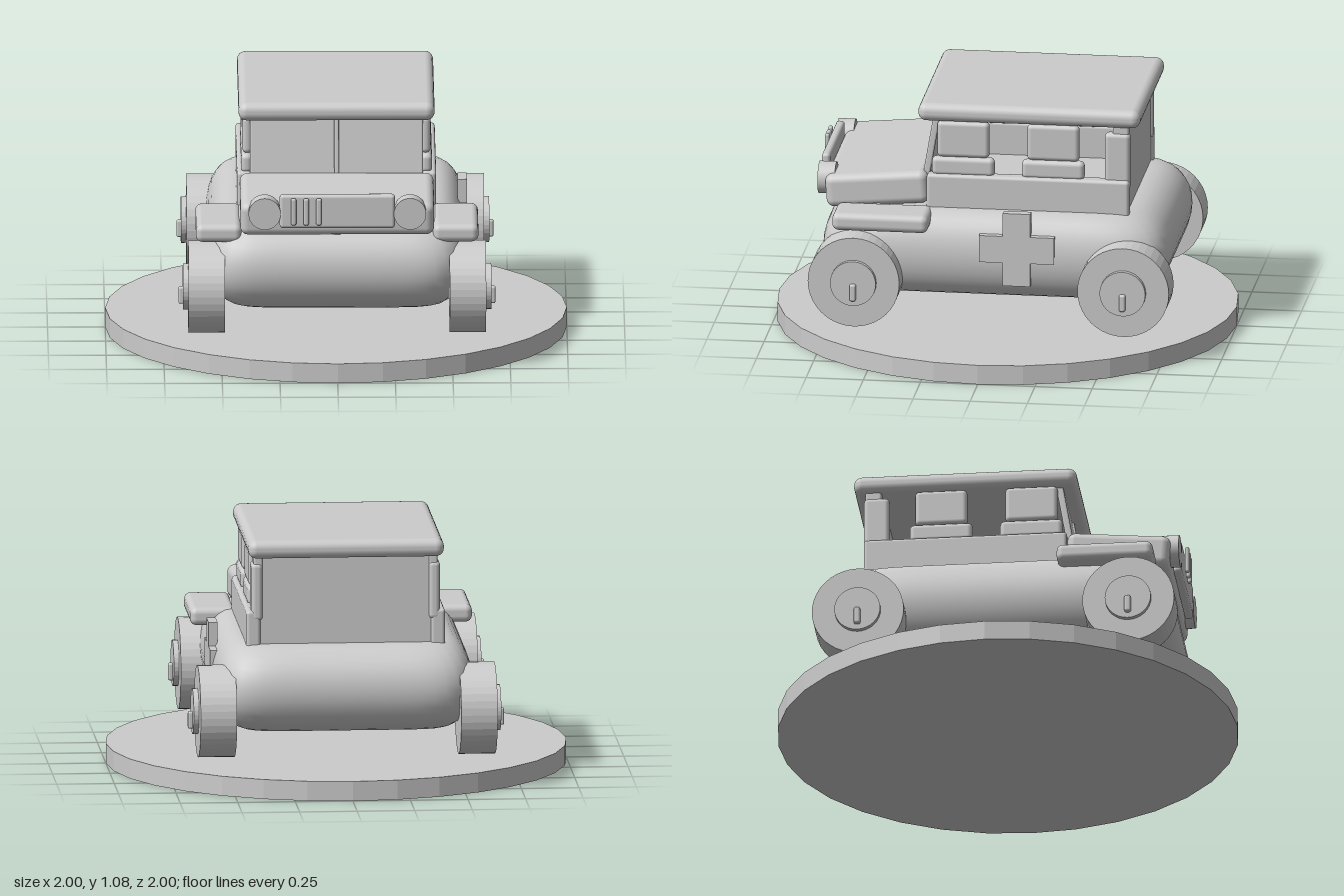
import * as THREE from 'three';
import { mergeVertices } from 'three/addons/utils/BufferGeometryUtils.js';
import { RoundedBoxGeometry } from 'three/addons/geometries/RoundedBoxGeometry.js';

const grey = new THREE.MeshStandardMaterial({ color: 0xcccccc });
grey.name = 'plain grey';

function add(parent, name, geometry, x = 0, y = 0, z = 0) {
  const mesh = new THREE.Mesh(geometry, grey);
  mesh.name = name;
  mesh.position.set(x, y, z);
  parent.add(mesh);
  return mesh;
}

// Rounded box given by its minimum and maximum on each axis
function block(parent, name, [x0, x1], [y0, y1], [z0, z1], radius = 0.02) {
  const w = x1 - x0, h = y1 - y0, d = z1 - z0;
  const r = Math.min(radius, 0.49 * Math.min(w, h, d));
  return add(parent, name, new RoundedBoxGeometry(w, h, d, 3, r),
    (x0 + x1) / 2, (y0 + y1) / 2, (z0 + z1) / 2);
}

// Cylinder with flat facets
function facetedDisc(radius, height, sides) {
  const g = new THREE.CylinderGeometry(radius, radius, height, sides).toNonIndexed();
  g.computeVertexNormals();
  return g;
}

// Pillow-like hull: a lathe whose circular plan is squared off
function hullGeometry(halfWidth, halfLength, y0, y1) {
  const mid = (y0 + y1) / 2, half = (y1 - y0) / 2, inset = 0.22;
  const profile = [new THREE.Vector2(0, y0), new THREE.Vector2(0.74, y0)];
  for (let i = 0; i <= 16; i++) {
    const a = -Math.PI / 2 + (Math.PI * i) / 16;
    profile.push(new THREE.Vector2(1 - inset + inset * Math.cos(a), mid + half * Math.sin(a)));
  }
  profile.push(new THREE.Vector2(0.74, y1), new THREE.Vector2(0, y1));
  let g = new THREE.LatheGeometry(profile, 96);
  const p = g.attributes.position;
  for (let i = 0; i < p.count; i++) {
    const x = p.getX(i), z = p.getZ(i), r = Math.hypot(x, z);
    if (r < 1e-6) continue;
    const k = 1 / Math.pow(Math.pow(Math.abs(x / r), 8) + Math.pow(Math.abs(z / r), 8), 1 / 8);
    p.setX(i, x * k * halfWidth);
    p.setZ(i, z * k * halfLength);
  }
  g.deleteAttribute('uv');
  g.deleteAttribute('normal');
  g = mergeVertices(g, 1e-5);
  g.computeVertexNormals();
  return g;
}

function addWheel(parent, side, z) {
  const wheel = new THREE.Group();
  wheel.name = (z > 0 ? 'front' : 'rear') + (side > 0 ? 'Left' : 'Right') + 'Wheel';
  wheel.position.set(0, 0.33, z);
  add(wheel, 'tyre', facetedDisc(0.2, 0.158, 40), side * 0.566).rotation.z = Math.PI / 2;
  add(wheel, 'hub', facetedDisc(0.1, 0.06, 32), side * 0.638).rotation.z = Math.PI / 2;
  add(wheel, 'hubBar', new RoundedBoxGeometry(0.04, 0.076, 0.028, 3, 0.009), side * 0.667, -0.038, 0);
  parent.add(wheel);
}

export function createModel() {
  const model = new THREE.Group();
  model.name = 'offRoadCar';

  // Display base and lower hull
  add(model, 'base', facetedDisc(1, 0.086, 32), 0, 0.043, 0);
  add(model, 'hull', hullGeometry(0.56, 0.76, 0.24, 0.62));

  // Bonnet, sloping down to the front
  const bonnet = add(model, 'bonnet', new RoundedBoxGeometry(0.84, 0.146, 0.45, 4, 0.035), 0, 0.681, 0.52);
  bonnet.rotation.x = 0.085;

  // Grille with three off-centre bars
  block(model, 'grille', [-0.25, 0.25], [0.635, 0.785], [0.745, 0.782], 0.015);
  for (const x of [-0.19, -0.135, -0.08])
    block(model, 'grilleBar', [x - 0.012, x + 0.012], [0.655, 0.775], [0.79, 0.81], 0.009);

  // Windscreen and its divider
  const screen = new THREE.Group();
  screen.name = 'windscreen';
  screen.position.set(0, 0.88, 0.285);
  screen.rotation.x = -0.17;
  block(screen, 'pane', [-0.375, 0.375], [-0.14, 0.14], [-0.015, 0.015], 0.008);
  block(screen, 'divider', [-0.01, 0.01], [-0.13, 0.13], [-0.015, 0.025], 0.006);
  model.add(screen);

  // Roof and rear panel
  block(model, 'roof', [-0.425, 0.425], [1.0, 1.08], [-0.63, 0.34], 0.036);
  block(model, 'rearPanel', [-0.385, 0.385], [0.6, 1.02], [-0.575, -0.51], 0.01);

  // Parts on both sides
  for (const side of [1, -1]) {
    const span = (a, b) => (side > 0 ? [a, b] : [-b, -a]);
    block(model, 'fender', span(0.415, 0.612), [0.548, 0.626], [0.272, 0.69], 0.028);
    block(model, 'sideWall', span(0.37, 0.432), [0.6, 0.766], [-0.585, 0.3], 0.015);
    block(model, 'rearPost', span(0.36, 0.41), [0.72, 0.975], [-0.587, -0.475], 0.02);
    block(model, 'postTop', span(0.36, 0.4), [0.95, 1.02], [-0.58, -0.51], 0.01);
    for (const z of [0.143, -0.25]) {
      block(model, 'seatBase', span(0.365, 0.414), [0.755, 0.84], [z - 0.137, z + 0.137], 0.022);
      block(model, 'seatBack', span(0.365, 0.408), [0.838, 1.0], [z - 0.114, z + 0.114], 0.02);
    }
    const lamp = add(model, 'headlight', new THREE.CylinderGeometry(0.07, 0.07, 0.075, 32), side * 0.315, 0.7, 0.745);
    lamp.rotation.x = Math.PI / 2;
    for (const z of [0.59, -0.588]) addWheel(model, side, z);
  }

  // Cross plate on the left flank only
  const a = 0.06, b = 0.164;
  const cross = new THREE.Shape([[-a, -b], [a, -b], [a, -a], [b, -a], [b, a], [a, a],
    [a, b], [-a, b], [-a, a], [-b, a], [-b, -a], [-a, -a]].map(([x, y]) => new THREE.Vector2(x, y)));
  const plate = add(model, 'sideCross',
    new THREE.ExtrudeGeometry(cross, { depth: 0.04, bevelEnabled: false }), 0.527, 0.48, -0.112);
  plate.rotation.y = Math.PI / 2;

  return model;
}
